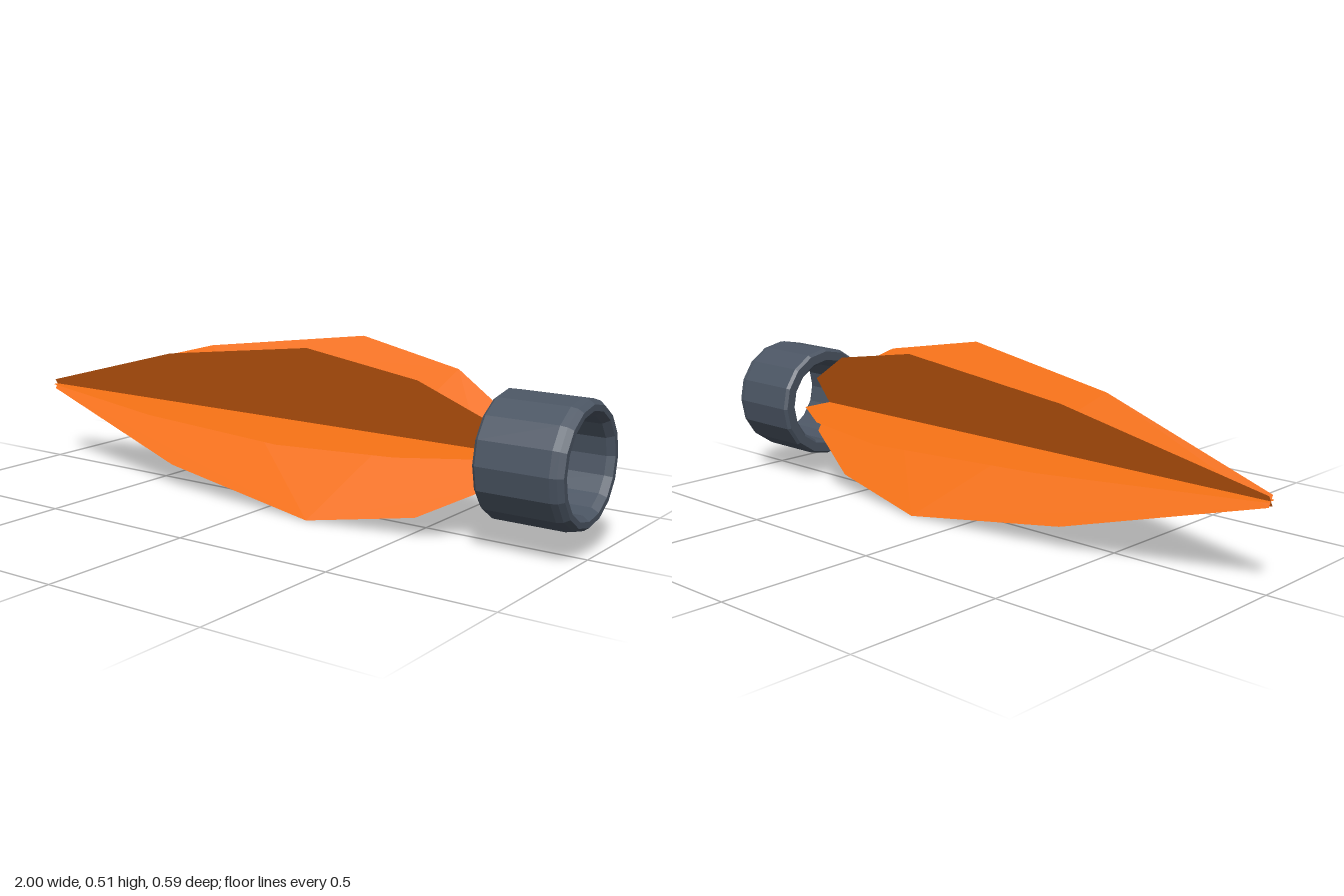
import * as THREE from 'three';

const AXIS_Y = 0.256;

export function createModel() {
  const model = new THREE.Group();
  model.name = 'dart';

  const orange = new THREE.MeshStandardMaterial({ color: 0xf97316, side: THREE.DoubleSide });
  const steel = new THREE.MeshStandardMaterial({ color: 0x4b5563, flatShading: true });

  // Blade outline: distance along the axis, half width
  const outline = [[-1, 0.018], [-0.38, 0.207], [0.18, 0.295], [0.53, 0.225], [0.73, 0.105]];
  const blade = new THREE.ShapeGeometry(new THREE.Shape([
    ...outline.map(([x, r]) => new THREE.Vector2(x, -r)),
    ...outline.map(([x, r]) => new THREE.Vector2(x, r)).reverse(),
  ]));

  // Three thin blades crossing along the axis, 60 degrees apart
  const vanes = new THREE.Group();
  vanes.name = 'vanes';
  for (let i = 0; i < 3; i++) {
    const vane = new THREE.Mesh(blade, orange);
    vane.name = 'vane' + (i + 1);
    vane.position.y = AXIS_Y;
    vane.rotation.x = -Math.PI / 2 + (i * Math.PI) / 3;
    vanes.add(vane);
  }
  model.add(vanes);

  // Hollow 16-sided collar with bevelled rims: radius, distance along the axis
  const profile = [
    [0.136, 0.75], [0.145, 0.74], [0.174, 0.74], [0.182, 0.75],
    [0.182, 0.965], [0.178, 0.985], [0.167, 1], [0.15, 1],
    [0.136, 0.98], [0.136, 0.75],
  ].map(([r, x]) => new THREE.Vector2(r, x));
  const collar = new THREE.Mesh(new THREE.LatheGeometry(profile, 16), steel);
  collar.name = 'collar';
  collar.rotation.z = -Math.PI / 2;
  collar.position.y = AXIS_Y;
  model.add(collar);

  return model;
}
